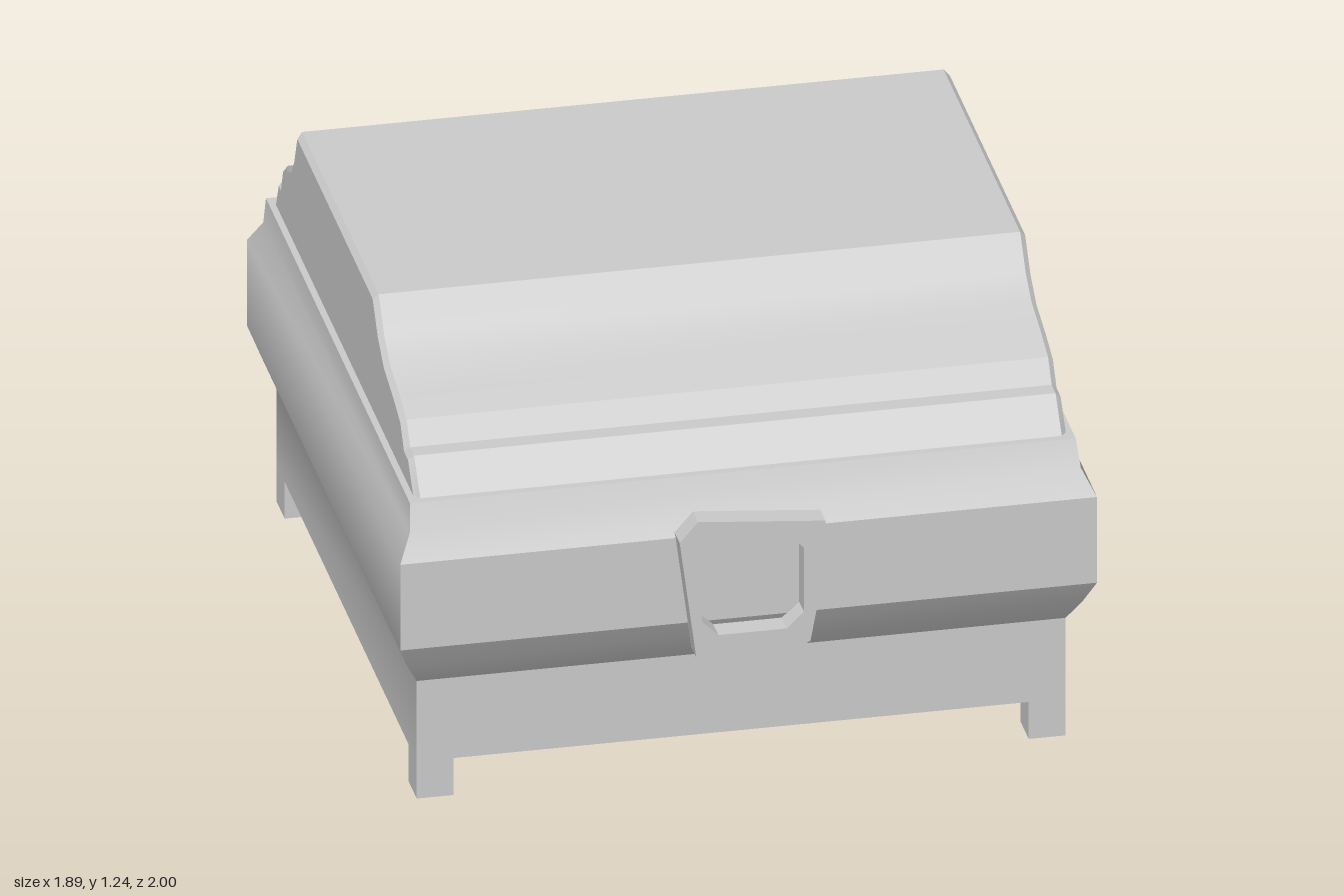
import * as THREE from 'three';
import { toCreasedNormals } from 'three/addons/utils/BufferGeometryUtils.js';

const CREASE = Math.PI / 6;
const material = new THREE.MeshStandardMaterial({ color: 0xcccccc });

function addMesh(parent, name, geometry) {
  const mesh = new THREE.Mesh(geometry, material);
  mesh.name = name;
  parent.add(mesh);
  return mesh;
}

const toShape = (points) => new THREE.Shape(points.map(([x, y]) => new THREE.Vector2(x, y)));

// Stack of rectangular rings [y, halfWidth, frontZ, backZ], closed at both ends
function loftRings(rings) {
  const positions = [];
  const index = [];
  for (const [y, w, front, back] of rings) {
    positions.push(-w, y, front, w, y, front, w, y, back, -w, y, back);
  }
  for (let r = 0; r < rings.length - 1; r++) {
    for (let i = 0; i < 4; i++) {
      const a = r * 4 + i;
      const b = r * 4 + (i + 1) % 4;
      index.push(a, b, b + 4, a, b + 4, a + 4);
    }
  }
  const t = (rings.length - 1) * 4;
  index.push(0, 2, 1, 0, 3, 2, t, t + 1, t + 2, t, t + 2, t + 3);
  const geometry = new THREE.BufferGeometry();
  geometry.setAttribute('position', new THREE.Float32BufferAttribute(positions, 3));
  geometry.setIndex(index);
  return toCreasedNormals(geometry, CREASE);
}

export function createModel() {
  const chest = new THREE.Group();
  chest.name = 'chest';

  // Body: straight base with a bulging belt above it
  addMesh(chest, 'body', loftRings([
    [0.11, 0.88, 0.845, -0.93],
    [0.35, 0.88, 0.845, -0.93],
    [0.42, 0.915, 0.895, -0.965],
    [0.495, 0.945, 0.94, -1.0],
    [0.75, 0.945, 0.94, -1.0],
    [0.82, 0.91, 0.897, -0.957],
    [0.892, 0.903, 0.866, -0.955],
  ]));

  // Four square feet flush with the base corners
  for (const [side, x] of [['left', 0.83], ['right', -0.83]]) {
    for (const [end, z] of [['Front', 0.793], ['Back', -0.878]]) {
      const foot = addMesh(chest, side + end + 'Foot', new THREE.BoxGeometry(0.1, 0.11, 0.104));
      foot.position.set(x, 0.055, z);
    }
  }

  // Lid: stepped profile (z, y) run across the width, with bevelled ends
  const lidProfile = [
    [-0.93, 0.87], [0.845, 0.87], [0.845, 0.89], [0.765, 0.98], [0.715, 0.98],
    [0.67, 1.04], [0.58, 1.07], [0.46, 1.1], [0.387, 1.15], [0.317, 1.237],
    [-0.652, 1.237], [-0.695, 1.14], [-0.725, 1.1], [-0.835, 1.045],
    [-0.86, 0.98], [-0.887, 0.98], [-0.93, 0.89],
  ];
  const lid = new THREE.ExtrudeGeometry(toShape(lidProfile), {
    depth: 1.74, bevelEnabled: true, bevelSegments: 1,
    bevelThickness: 0.015, bevelSize: 0.015, bevelOffset: -0.015,
  });
  lid.translate(0, 0, -0.87).rotateY(-Math.PI / 2);
  addMesh(chest, 'lid', toCreasedNormals(lid, CREASE));

  // Lock plate: crooked frame with a chamfered square opening
  const plate = toShape([
    [-0.155, 0.42], [0.125, 0.42], [0.155, 0.437], [0.207, 0.725],
    [0.195, 0.79], [-0.15, 0.822], [-0.2, 0.765],
  ]);
  plate.holes.push(toShape([
    [-0.14, 0.525], [-0.14, 0.715], [-0.095, 0.765], [0.09, 0.765],
    [0.137, 0.715], [0.137, 0.525], [0.09, 0.48], [-0.095, 0.48],
  ]));
  const lock = addMesh(chest, 'lockPlate',
    new THREE.ExtrudeGeometry(plate, { depth: 0.065, bevelEnabled: false }));
  lock.position.z = 0.935;

  return chest;
}
